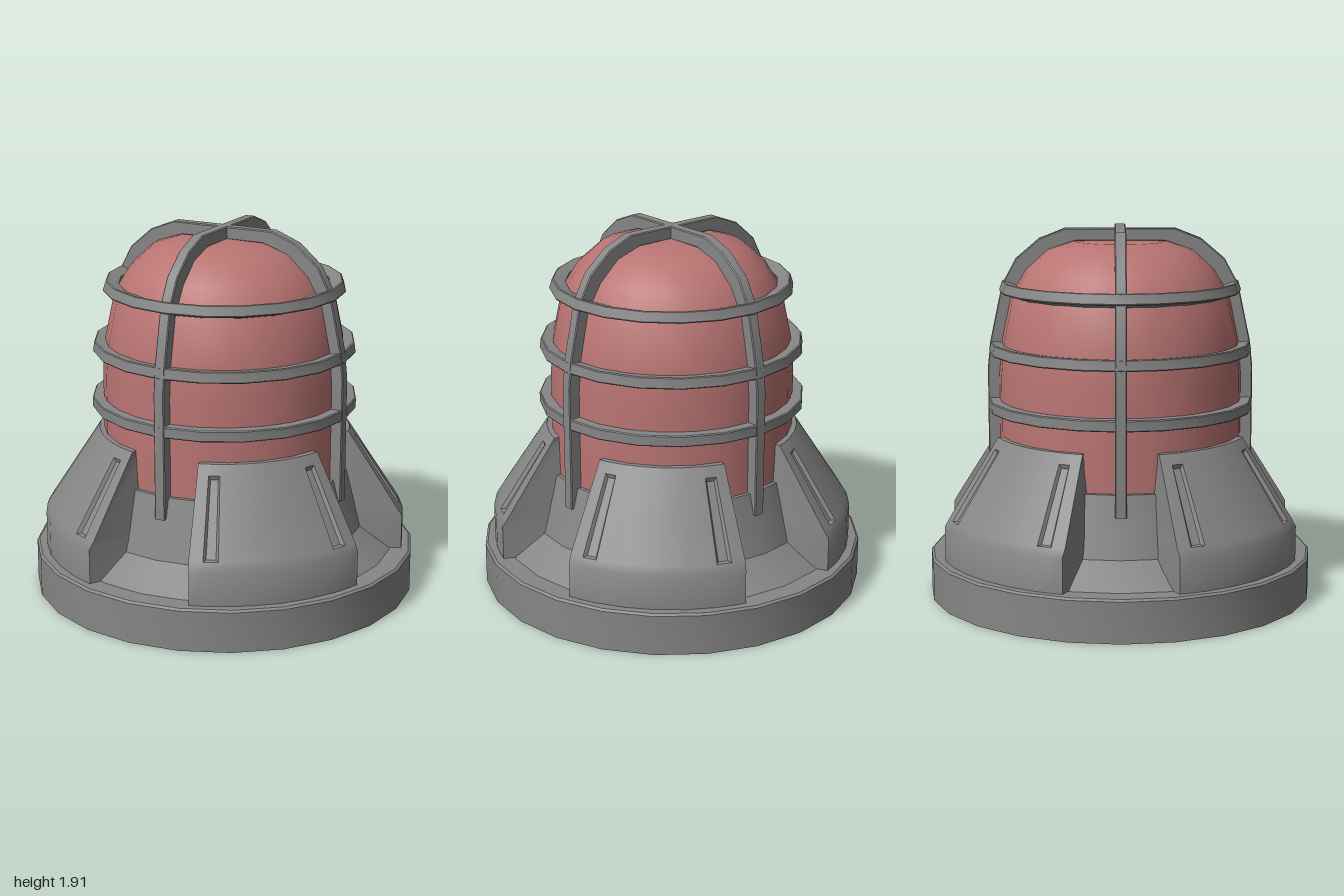
import * as THREE from 'three';
import { toCreasedNormals } from 'three/addons/utils/BufferGeometryUtils.js';

const grey = new THREE.MeshStandardMaterial({ color: 0x868686 });
const red = new THREE.MeshStandardMaterial({ color: 0xb87472 });

function addMesh(parent, name, geometry, material = grey) {
  const mesh = new THREE.Mesh(geometry, material);
  mesh.name = name;
  parent.add(mesh);
  return mesh;
}

function lathe(points, segments, crease = 0.6) {
  const profile = points.map(([r, y]) => new THREE.Vector2(r, y));
  return toCreasedNormals(new THREE.LatheGeometry(profile, segments), crease);
}

// Ring of the guard cage: chamfered section, tilted to stand square on the dome
function ringGeometry(radius, y, tiltDegrees, depth) {
  const h = 0.029, c = 0.005;
  const tilt = THREE.MathUtils.degToRad(tiltDegrees);
  const cos = Math.cos(tilt), sin = Math.sin(tilt);
  const section = [[-depth, -h], [-c, -h], [0, c - h], [0, h - c], [-c, h], [-depth, h], [-depth, -h]];
  return lathe(section.map(([n, t]) => [radius + n * cos - t * sin, y + n * sin + t * cos]), 20, 0.4);
}

// Arched bar of the guard cage, passing over the top of the dome
function archGeometry() {
  const outer = [[0.687, 0.54], [0.687, 1.19], [0.672, 1.33], [0.61, 1.62], [0.54, 1.75], [0.417, 1.855], [0.283, 1.908]];
  const inner = [[0.615, 0.54], [0.615, 1.19], [0.6, 1.32], [0.545, 1.58], [0.465, 1.70], [0.355, 1.80], [0.23, 1.842]];
  const mirror = (pts) => pts.map(([x, y]) => [-x, y]);
  const outline = [...outer, ...mirror(outer).reverse(), ...mirror(inner), ...inner.slice().reverse()];
  const bevel = 0.005;
  const geometry = new THREE.ExtrudeGeometry(
    new THREE.Shape(outline.map(([x, y]) => new THREE.Vector2(x, y))),
    { depth: 0.048, bevelEnabled: true, bevelThickness: bevel, bevelSize: bevel, bevelOffset: -bevel, bevelSegments: 1 });
  geometry.translate(0, 0, -0.024);
  return toCreasedNormals(geometry, 0.4);
}

// Sloped buttress covering one quarter, with two recessed grooves on its slope
function buttressGeometry() {
  const rows = [ // y, outer radius, outer edge x, inner edge x
    [0.20, 0.945, 0.283, 0.11], [0.40, 0.945, 0.283, 0.13], [0.44, 0.92, 0.27, 0.135],
    [0.80, 0.687, 0.198, 0.172], [0.85, 0.655, 0.187, 0.18],
  ];
  const innerRadius = 0.6;
  const degrees = [null, 21.5, 26.2, 35.6, 45, 54.4, 63.8, 68.5, null];
  const last = degrees.length - 1;
  const grooveColumns = [1, 6], grooveRow = 2;
  const point = (r, a, y) => new THREE.Vector3(r * Math.sin(a), y, r * Math.cos(a));
  const grid = (radiusOf, edgeOf) => rows.map((row) => degrees.map((deg, j) => {
    const r = radiusOf(row);
    const edge = Math.asin(edgeOf(row) / r);
    const a = j === 0 ? edge : j === last ? Math.PI / 2 - edge : THREE.MathUtils.degToRad(deg);
    return point(r, a, row[0]);
  }));
  const out = grid((row) => row[1], (row) => row[2]);
  const inn = grid(() => innerRadius, (row) => row[3]);

  const positions = [];
  const quad = (a, b, c, d) => [a, b, c, a, c, d].forEach((p) => positions.push(p.x, p.y, p.z));

  for (let i = 0; i < rows.length - 1; i++) {
    for (let j = 0; j < last; j++) {
      const face = [out[i][j], out[i][j + 1], out[i + 1][j + 1], out[i + 1][j]];
      if (i !== grooveRow || !grooveColumns.includes(j)) {
        quad(...face);
        continue;
      }
      // groove: floor narrowed, shortened and pushed in along the slope normal
      const normal = face[1].clone().sub(face[0]).cross(face[3].clone().sub(face[0])).normalize();
      const floor = face.map((p, k) => p.clone()
        .lerp(face[k ^ 1], 0.18)
        .lerp(face[3 - k], 0.035)
        .addScaledVector(normal, -0.018));
      quad(...floor);
      for (let k = 0; k < 4; k++) {
        const n = (k + 1) % 4;
        quad(face[k], face[n], floor[n], floor[k]);
      }
    }
    // side walls
    quad(inn[i][0], out[i][0], out[i + 1][0], inn[i + 1][0]);
    quad(out[i][last], inn[i][last], inn[i + 1][last], out[i + 1][last]);
  }
  // top ledge
  const t = rows.length - 1;
  for (let j = 0; j < last; j++) quad(out[t][j], out[t][j + 1], inn[t][j + 1], inn[t][j]);

  const geometry = new THREE.BufferGeometry();
  geometry.setAttribute('position', new THREE.Float32BufferAttribute(positions, 3));
  return toCreasedNormals(geometry, 0.65);
}

export function createModel() {
  const model = new THREE.Group();
  model.name = 'cagedWarningLamp';

  // Round base plate and the collar that holds the glass
  addMesh(model, 'basePlate', lathe([[0, 0], [1, 0], [1, 0.21], [0.988, 0.22], [0, 0.22]], 24));
  addMesh(model, 'collar', lathe([[0.89, 0.218], [0.73, 0.34], [0.65, 0.65], [0.6, 0.65]], 24, 0.5));

  // Glass dome
  addMesh(model, 'glassDome', lathe([
    [0.63, 0.6], [0.63, 1.16], [0.615, 1.33], [0.565, 1.57], [0.485, 1.70],
    [0.375, 1.80], [0.24, 1.843], [0, 1.847],
  ], 24, 0.8), red);

  // Four buttresses around the base
  const buttress = buttressGeometry();
  for (let i = 0; i < 4; i++) {
    addMesh(model, 'buttress' + (i + 1), buttress).rotation.y = i * Math.PI / 2;
  }

  // Guard cage: two crossing arches and three rings
  const cage = new THREE.Group();
  cage.name = 'guardCage';
  model.add(cage);
  const arch = archGeometry();
  addMesh(cage, 'archAcross', arch);
  addMesh(cage, 'archFrontToBack', arch).rotation.y = Math.PI / 2;
  addMesh(cage, 'lowerRing', ringGeometry(0.688, 1.0, 0, 0.06));
  addMesh(cage, 'middleRing', ringGeometry(0.678, 1.297, 8, 0.065));
  addMesh(cage, 'upperRing', ringGeometry(0.618, 1.613, 18, 0.068));

  return model;
}
